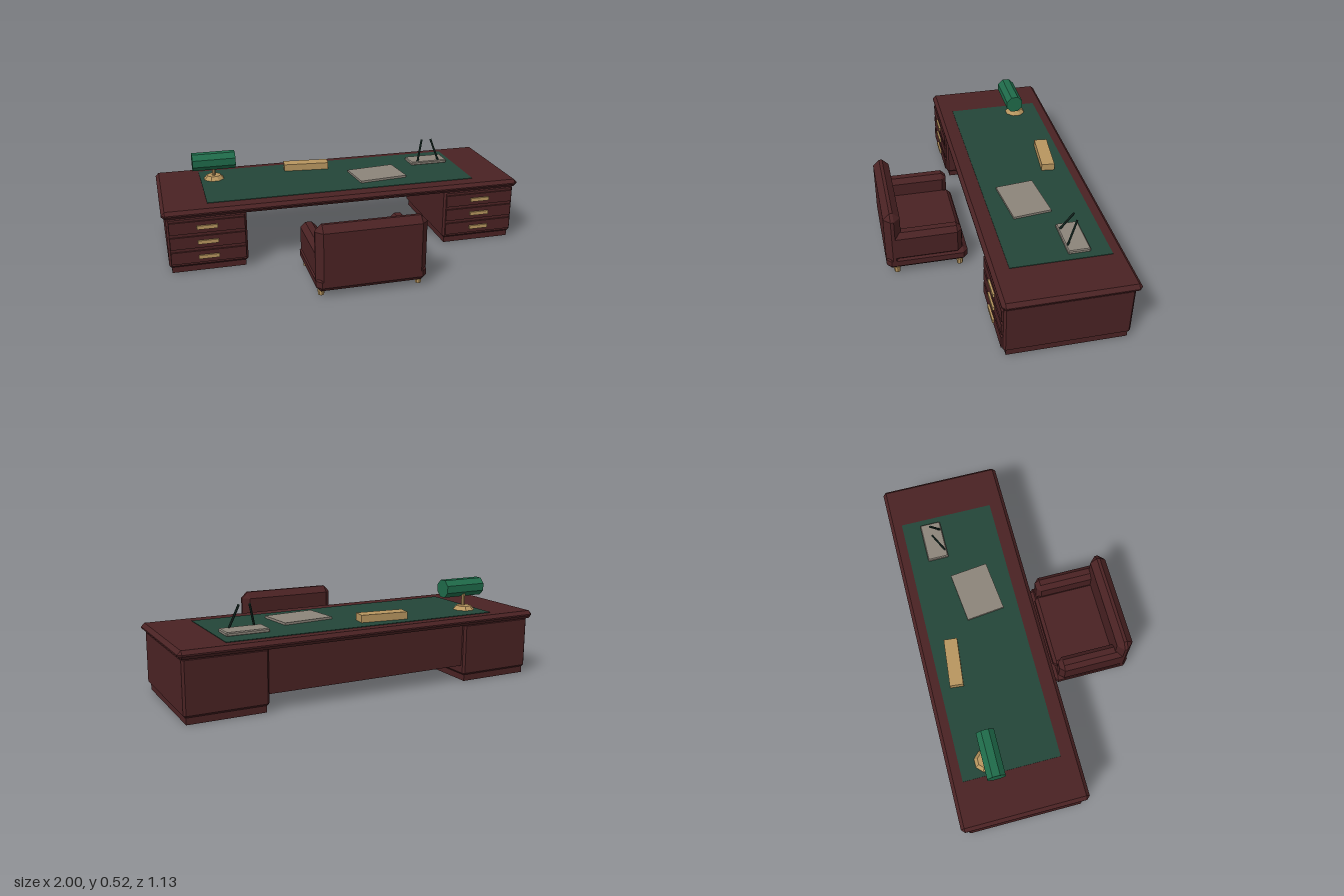
import * as THREE from 'three';
import { ConvexGeometry } from 'three/addons/geometries/ConvexGeometry.js';

const mat = (name, color) => {
  const m = new THREE.MeshStandardMaterial({ color, flatShading: true });
  m.name = name;
  return m;
};

// Box between two corners with every edge cut at 45 degrees
function chamferBox(x0, x1, y0, y1, z0, z1, c) {
  const h = [(x1 - x0) / 2, (y1 - y0) / 2, (z1 - z0) / 2];
  const pts = [];
  for (const sx of [-1, 1]) for (const sy of [-1, 1]) for (const sz of [-1, 1])
    for (let k = 0; k < 3; k++) {
      const d = h.map((v, i) => (i === k ? v : v - c));
      pts.push(new THREE.Vector3(sx * d[0], sy * d[1], sz * d[2]));
    }
  return new ConvexGeometry(pts).translate((x0 + x1) / 2, (y0 + y1) / 2, (z0 + z1) / 2);
}

function box(x0, x1, y0, y1, z0, z1) {
  return new THREE.BoxGeometry(x1 - x0, y1 - y0, z1 - z0)
    .translate((x0 + x1) / 2, (y0 + y1) / 2, (z0 + z1) / 2);
}

export function createModel() {
  const wood = mat('mahogany', 0x4a2223);
  const felt = mat('deskFelt', 0x234538);
  const glass = mat('lampGreen', 0x1f6b4a);
  const brass = mat('brass', 0xb8965f);
  const grey = mat('paperGrey', 0x8c847a);
  const ink = mat('penGreen', 0x1a3029);

  const root = new THREE.Group();
  const group = (name) => {
    const g = new THREE.Group();
    g.name = name;
    root.add(g);
    return g;
  };
  const add = (parent, name, geo, m) => {
    const mesh = new THREE.Mesh(geo, m);
    mesh.name = name;
    parent.add(mesh);
    return mesh;
  };

  // Desk
  const desk = group('desk');
  const top = 0.353;
  add(desk, 'deskTop', chamferBox(-1, 1, 0.31, top, -0.565, 0.108, 0.018), wood);
  add(desk, 'writingMat', box(-0.755, 0.755, top - 0.003, top + 0.003, -0.5, 0.018), felt);
  add(desk, 'modestyPanel', box(-0.57, 0.57, 0.085, 0.315, -0.52, -0.48), wood);
  for (const s of [-1, 1]) {
    const x = s * 0.769;
    add(desk, 'pedestal', chamferBox(x - 0.21, x + 0.21, 0.034, 0.315, -0.542, 0.094, 0.011), wood);
    add(desk, 'plinth', box(x - 0.197, x + 0.197, 0, 0.04, -0.531, 0.079), wood);
    for (const y of [0.258, 0.174, 0.09]) {
      add(desk, 'drawer', box(x - 0.198, x + 0.198, y - 0.033, y + 0.033, 0.085, 0.104), wood);
      add(desk, 'drawerHandle', box(x - 0.055, x + 0.055, y - 0.01, y + 0.01, 0.1, 0.114), brass);
    }
  }

  // Armchair, facing the desk
  const chair = group('armchair');
  add(chair, 'seatBase', chamferBox(-0.29, 0.29, 0.03, 0.115, 0.125, 0.565, 0.026), wood);
  add(chair, 'seatCushion', chamferBox(-0.215, 0.215, 0.1, 0.165, 0.142, 0.5, 0.018), wood);
  add(chair, 'backrest', chamferBox(-0.29, 0.29, 0.03, 0.385, 0.478, 0.565, 0.035), wood);
  for (const s of [-1, 1]) {
    const x = s * 0.247;
    add(chair, 'armrest', chamferBox(x - 0.043, x + 0.043, 0.085, 0.26, 0.157, 0.54, 0.026), wood);
    for (const z of [0.168, 0.51])
      add(chair, 'chairLeg', new THREE.CylinderGeometry(0.019, 0.016, 0.035, 8)
        .translate(s * 0.258, 0.0175, z), brass);
  }

  // Desk lamp
  const lamp = group('deskLamp');
  const disc = (r1, r2, h) => new THREE.CylinderGeometry(r1, r2, h, 8, 1, false, Math.PI / 8);
  add(lamp, 'lampBase', disc(0.04, 0.062, 0.024).translate(-0.678, top + 0.012, -0.363), brass);
  add(lamp, 'lampStem', disc(0.01, 0.01, 0.1).translate(-0.678, 0.41, -0.357), brass);
  add(lamp, 'lampShade', disc(0.051, 0.051, 0.24).rotateZ(Math.PI / 2)
    .translate(-0.678, 0.473, -0.33), glass);

  // Small box and paper stack, each turned a little on the mat
  const smallBox = add(root, 'woodenBox', box(-0.13, 0.13, 0, 0.042, -0.036, 0.036), brass);
  smallBox.position.set(-0.131, top, -0.4);
  smallBox.rotation.y = -0.1;
  const papers = add(root, 'paperStack', box(-0.14, 0.14, 0, 0.015, -0.104, 0.104), grey);
  papers.position.set(0.243, top, -0.181);
  papers.rotation.y = 0.11;

  // Pen stand with two leaning pens
  const stand = group('penStand');
  add(stand, 'penTray', chamferBox(0.493, 0.717, top, 0.374, -0.4, -0.285, 0.005), grey);
  for (const [xa, xb] of [[0.535, 0.577], [0.667, 0.633]]) {
    const a = new THREE.Vector3(xa, 0.37, -0.295);
    const b = new THREE.Vector3(xb, 0.492, -0.347);
    const pen = add(stand, 'pen', new THREE.CylinderGeometry(0.006, 0.006, a.distanceTo(b), 6), ink);
    pen.position.copy(a).lerp(b, 0.5);
    pen.quaternion.setFromUnitVectors(new THREE.Vector3(0, 1, 0), b.sub(a).normalize());
  }
  return root;
}
